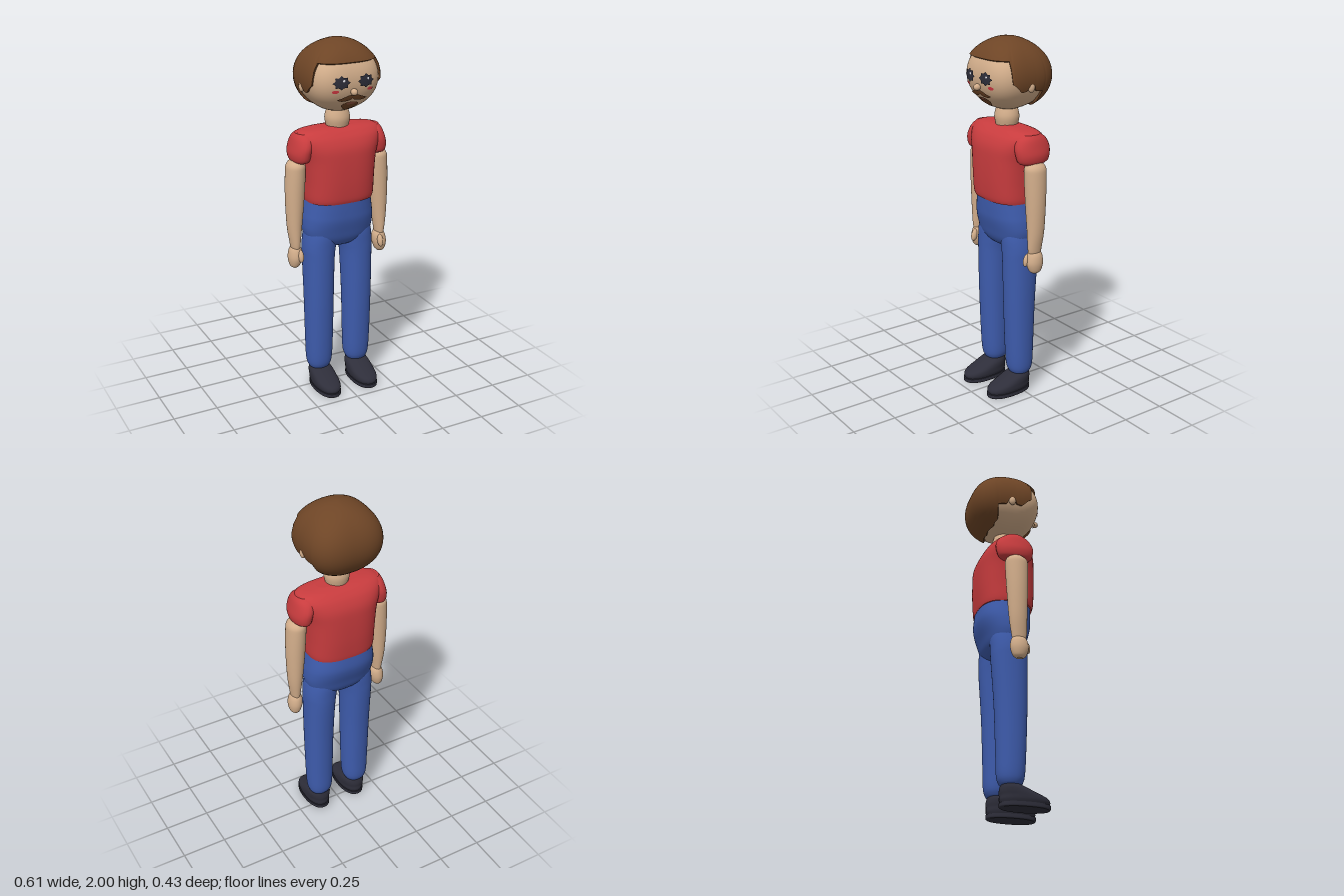
import * as THREE from 'three';

const mat = (name, color) => Object.assign(new THREE.MeshStandardMaterial({ color }), { name });

// Smooth skin over rows of points, listed from bottom to top, each row a closed loop
function skinRows(rows) {
  const n = rows[0].length, pos = [], idx = [];
  rows.forEach(row => row.forEach(p => pos.push(...p)));
  for (let i = 0; i < rows.length - 1; i++) {
    for (let j = 0; j < n; j++) {
      const a = i * n + j, b = i * n + (j + 1) % n;
      idx.push(a, b, b + n, a, b + n, a + n);
    }
  }
  const g = new THREE.BufferGeometry();
  g.setAttribute('position', new THREE.Float32BufferAttribute(pos, 3));
  g.setIndex(idx);
  g.computeVertexNormals();
  return g;
}

// Radius of a superellipse in direction a (0 = front, 90 degrees = left)
const reach = (a, rx, rz, n) =>
  Math.pow(Math.pow(Math.abs(Math.sin(a)) / rx, n) + Math.pow(Math.abs(Math.cos(a)) / rz, n), -1 / n);

// Loft through sections [y, centreX, centreZ, radiusX, radiusZ], with flat ends
function loft(sections, { side = 1, power = 2, around = 40, steps = 5 } = {}) {
  const last = sections.length - 1, rows = [];
  const at = i => sections[Math.max(0, Math.min(last, i))];
  const ring = ([y, cx, cz, rx, rz], scale = 1) => Array.from({ length: around }, (_, j) => {
    const a = j / around * Math.PI * 2;
    const r = scale * reach(a, Math.max(rx, 0.001), Math.max(rz, 0.001), power);
    return [side * cx + r * Math.sin(a), y, cz + r * Math.cos(a)];
  });
  for (let i = 0; i < last; i++) {
    for (let s = 0; s < steps; s++) {
      const t = s / steps;
      rows.push(ring(at(i).map((p1, k) => {
        const p0 = at(i - 1)[k], p2 = at(i + 1)[k], p3 = at(i + 2)[k];
        return p1 + 0.5 * t * (p2 - p0 + t * (2 * p0 - 5 * p1 + 4 * p2 - p3 + t * (3 * (p1 - p2) + p3 - p0)));
      })));
    }
  }
  const low = at(0), high = at(last);
  return skinRows([ring(low, 0), ring(low), ...rows, ring(high), ring(high), ring(high, 0)]);
}

// Head surface: rounded-square slices that get leaner toward the poles
const HEAD = { y: 1.8, rx: 0.2, ry: 0.187, front: 0.185, back: 0.2 };
const slicePower = t => 3 - 1.4 * t ** 4;
function headPoint(a, lat, off) {
  const t = Math.sin(lat), k = Math.max(Math.cos(lat), 0.0005);
  const rz = (Math.cos(a) > 0 ? HEAD.front : HEAD.back) + off;
  const r = k * reach(a, HEAD.rx + off, rz, slicePower(t));
  return [r * Math.sin(a), HEAD.y + (HEAD.ry + off) * t, r * Math.cos(a)];
}
function faceZ(x, y) {
  const t = (y - HEAD.y) / HEAD.ry, k = Math.sqrt(Math.max(0, 1 - t * t)), n = slicePower(t);
  return HEAD.front * k * Math.pow(Math.max(0, 1 - Math.pow(Math.abs(x) / (HEAD.rx * k), n)), 1 / n);
}

// Thin patch laid on the face; warp bends the unit disc
function facePatch(cx, cy, rx, ry, lift, warp = (u, v) => [u, v]) {
  const g = new THREE.RingGeometry(0.001, 1, 48, 4), p = g.attributes.position;
  for (let i = 0; i < p.count; i++) {
    const [u, v] = warp(p.getX(i), p.getY(i));
    const x = cx + u * rx, y = cy + v * ry;
    p.setXYZ(i, x, y, faceZ(x, y) + lift);
  }
  g.computeVertexNormals();
  return g;
}

// Hairline height by angle from the front, in degrees
const HAIRLINE = [[0, 1.9], [59, 1.9], [62, 1.785], [66, 1.775], [76, 1.735], [85, 1.74], [89, 1.77],
  [97, 1.77], [101, 1.735], [115, 1.73], [118, 1.66], [135, 1.635], [180, 1.625]];
function hairlineAt(deg) {
  const i = Math.max(1, HAIRLINE.findIndex(h => h[0] >= deg));
  const [a0, y0] = HAIRLINE[i - 1], [a1, y1] = HAIRLINE[i];
  return THREE.MathUtils.lerp(y0, y1, (deg - a0) / (a1 - a0));
}

export function createModel() {
  const group = new THREE.Group();
  const skin = mat('skin', 0xd3ae8b), brown = mat('hairBrown', 0x6e4526), red = mat('shirtRed', 0xc83c3e);
  const blue = mat('trouserBlue', 0x3e5cad), dark = mat('shoeDark', 0x2e2e3a);
  const blush = mat('blushRed', 0xd63a44), lip = mat('lipBrown', 0x8f5440), white = mat('eyeWhite', 0xe8e8ee);
  const add = (name, geometry, material) => {
    const m = new THREE.Mesh(geometry, material);
    m.name = name;
    group.add(m);
    return m;
  };
  const ball = (name, material, c, r) => {
    const m = add(name, new THREE.SphereGeometry(1, 24, 16), material);
    m.position.set(...c);
    m.scale.set(...r);
    return m;
  };

  // Head and hair cap
  const N = 144, angles = Array.from({ length: N }, (_, j) => j / N * Math.PI * 2);
  const headRows = Array.from({ length: 33 }, (_, i) =>
    angles.map(a => headPoint(a, (i / 32 - 0.5) * Math.PI, 0)));
  add('head', skinRows(headRows), skin);
  const OFF = 0.013;
  const hairRow = (f, off) => angles.map(a => {
    const deg = THREE.MathUtils.radToDeg(a);
    const edge = Math.asin((hairlineAt(Math.min(deg, 360 - deg)) - HEAD.y) / (HEAD.ry + OFF));
    return headPoint(a, THREE.MathUtils.lerp(edge, Math.PI / 2, f), off);
  });
  const hairRows = Array.from({ length: 25 }, (_, i) => hairRow(i / 24, OFF));
  add('hair', skinRows([hairRow(0, -0.004), hairRow(0, OFF), ...hairRows]), brown);

  // Face
  ball('nose', skin, [0, 1.75, 0.19], [0.018, 0.018, 0.02]);
  add('goatee', facePatch(0, 1.672, 0.05, 0.036, 0.006,
    (u, v) => [u * (v < 0 ? 1 + 0.45 * v : 1), v > 0 ? v * 0.6 : v]), brown);
  add('mouth', facePatch(0, 1.684, 0.026, 0.007, 0.009), lip);
  for (const s of [1, -1]) {
    add('eye', facePatch(s * 0.07, 1.803, 0.038, 0.029, 0.007, (u, v) => {
      const lash = 1 + 0.28 * Math.max(0, Math.cos(8 * Math.atan2(v, u)));
      return [u * lash, v * lash];
    }), dark);
    add('eyeGlint', facePatch(s * 0.07 + 0.011, 1.814, 0.006, 0.006, 0.009), white);
    add('cheek', facePatch(s * 0.1, 1.757, 0.018, 0.009, 0.004), blush);
    add('moustache', facePatch(s * 0.041, 1.714, 0.044, 0.014, 0.009,
      (u, v) => [u, v * (1 - 0.55 * s * u) - 0.7 * s * u + 0.5 * Math.max(0, s * u) ** 3]), brown);
    ball('ear', skin, [s * 0.202, 1.757, -0.01], [0.014, 0.026, 0.02]);
  }

  add('neck', loft([[1.5, 0, 0, 0.05, 0.05], [1.535, 0, 0, 0.062, 0.06], [1.57, 0, 0, 0.069, 0.066],
    [1.6, 0, 0, 0.065, 0.062], [1.64, 0, 0, 0.05, 0.05]]), skin);

  // Shirt body
  add('shirt', loft([[1.13, 0, -0.007, 0.188, 0.147], [1.16, 0, -0.005, 0.193, 0.153],
    [1.25, 0, -0.005, 0.196, 0.158], [1.36, 0, -0.005, 0.206, 0.157], [1.43, 0, -0.005, 0.225, 0.15],
    [1.48, 0, -0.005, 0.241, 0.128], [1.51, 0, -0.005, 0.236, 0.1], [1.526, 0, -0.003, 0.2, 0.075],
    [1.535, 0, 0, 0.12, 0.045]], { power: 2.8, around: 64 }), red);

  // Hips
  add('hips', loft([[0.855, 0, -0.005, 0.045, 0.05], [0.875, 0, -0.005, 0.12, 0.082],
    [0.91, 0, -0.006, 0.18, 0.106], [0.96, 0, -0.007, 0.2, 0.122], [1.02, 0, -0.01, 0.202, 0.14],
    [1.07, 0, -0.012, 0.196, 0.146], [1.14, 0, -0.008, 0.184, 0.144]], { power: 2.5, around: 64 }), blue);

  // Paired parts
  for (const side of [1, -1]) {
    add('sleeve', loft([[1.36, 0.226, -0.005, 0.036, 0.066], [1.375, 0.226, -0.005, 0.048, 0.092],
      [1.41, 0.224, -0.005, 0.055, 0.104], [1.45, 0.216, -0.005, 0.055, 0.106],
      [1.49, 0.205, -0.005, 0.054, 0.088], [1.515, 0.2, -0.005, 0.044, 0.055]], { side }), red);

    add('arm', loft([[0.865, 0.259, 0.005, 0.022, 0.036], [0.9, 0.26, 0.005, 0.027, 0.042],
      [1.0, 0.26, 0, 0.04, 0.05], [1.16, 0.255, -0.002, 0.051, 0.058], [1.3, 0.249, -0.003, 0.053, 0.063],
      [1.345, 0.247, -0.003, 0.048, 0.06], [1.37, 0.245, -0.003, 0.028, 0.038]], { side }), skin);

    add('hand', loft([[0.76, 0.266, 0.005, 0.012, 0.018], [0.775, 0.265, 0.005, 0.027, 0.036],
      [0.815, 0.262, 0.006, 0.038, 0.049], [0.855, 0.259, 0.005, 0.036, 0.046],
      [0.88, 0.258, 0.005, 0.024, 0.036], [0.888, 0.258, 0.005, 0.012, 0.018]], { side }), skin);
    const thumb = ball('thumb', skin, [side * 0.247, 0.835, 0.05], [0.016, 0.036, 0.018]);
    thumb.rotation.x = -0.25;

    add('leg', loft([[0.11, 0.119, 0, 0.046, 0.045], [0.125, 0.119, 0, 0.06, 0.06],
      [0.17, 0.118, 0, 0.072, 0.073], [0.3, 0.118, 0.002, 0.077, 0.079], [0.55, 0.118, 0.002, 0.081, 0.088],
      [0.78, 0.116, -0.004, 0.086, 0.098], [0.86, 0.112, -0.005, 0.091, 0.1],
      [0.93, 0.105, -0.005, 0.09, 0.1], [1.0, 0.1, -0.005, 0.08, 0.09]], { side, power: 2.2 }), blue);

    // Shoe: low toe rising to the ankle, on a thin sole
    add('shoe', loft([[0.022, 0.117, 0.075, 0.062, 0.128], [0.04, 0.117, 0.075, 0.068, 0.134],
      [0.06, 0.117, 0.068, 0.069, 0.126], [0.08, 0.117, 0.043, 0.068, 0.102],
      [0.1, 0.117, 0.02, 0.064, 0.076], [0.118, 0.117, 0.003, 0.053, 0.053],
      [0.13, 0.117, 0, 0.036, 0.036]], { side, power: 2.3 }), dark);
    add('sole', loft([[0, 0.117, 0.076, 0.064, 0.13], [0.006, 0.117, 0.076, 0.068, 0.136],
      [0.024, 0.117, 0.076, 0.068, 0.136]], { side, power: 2.3 }), dark);
  }
  return group;
}
